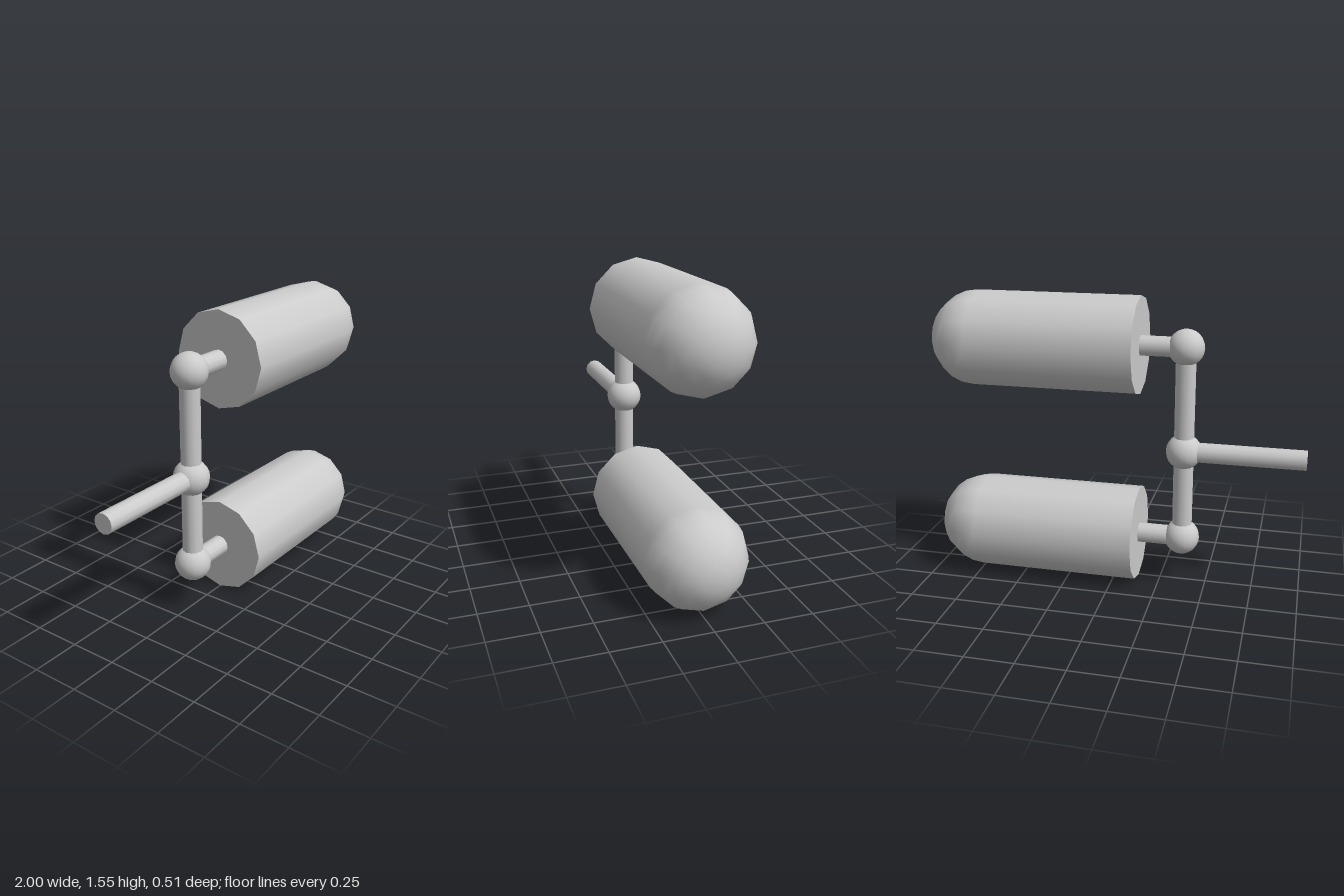
import * as THREE from 'three';

const material = new THREE.MeshStandardMaterial({ color: 0xcccccc });

const jointX = -0.365; // column of ball joints
const midY = 0.745;
const tankLevels = { lower: 0.26, upper: 1.3 };
const tankR = 0.256, tankStart = -0.13, domeStart = 0.739;

function add(group, name, geometry, x, y) {
  const mesh = new THREE.Mesh(geometry, material);
  mesh.name = name;
  mesh.position.set(x, y, 0);
  group.add(mesh);
}

// Round bar lying along x between two ends
function barX(group, name, radius, x0, x1, y) {
  const geometry = new THREE.CylinderGeometry(radius, radius, x1 - x0, 12).rotateZ(-Math.PI / 2);
  add(group, name, geometry, (x0 + x1) / 2, y);
}

// Upright round bar between two heights
function barY(group, name, radius, y0, y1) {
  add(group, name, new THREE.CylinderGeometry(radius, radius, y1 - y0, 12), jointX, (y0 + y1) / 2);
}

export function createModel() {
  const model = new THREE.Group();
  model.name = 'twinTankManifold';
  const pipeR = 0.053;
  const joint = new THREE.SphereGeometry(0.095, 16, 12);

  // Inlet pipe and central ball joint
  barX(model, 'inletPipe', pipeR, -1, jointX, midY);
  add(model, 'centreJoint', joint, jointX, midY);

  // Each branch: riser, corner joint, short outlet pipe and domed tank
  for (const [side, y] of Object.entries(tankLevels)) {
    const branch = new THREE.Group();
    branch.name = side + 'Branch';
    barY(branch, 'riserPipe', pipeR, Math.min(y, midY), Math.max(y, midY));
    add(branch, 'cornerJoint', joint, jointX, y);
    barX(branch, 'outletPipe', pipeR, jointX, tankStart + 0.02, y);
    barX(branch, 'tankBody', tankR, tankStart, domeStart, y);
    const dome = new THREE.SphereGeometry(tankR, 12, 6, 0, Math.PI * 2, 0, Math.PI / 2);
    add(branch, 'tankDome', dome.rotateZ(-Math.PI / 2), domeStart, y);
    model.add(branch);
  }
  return model;
}
